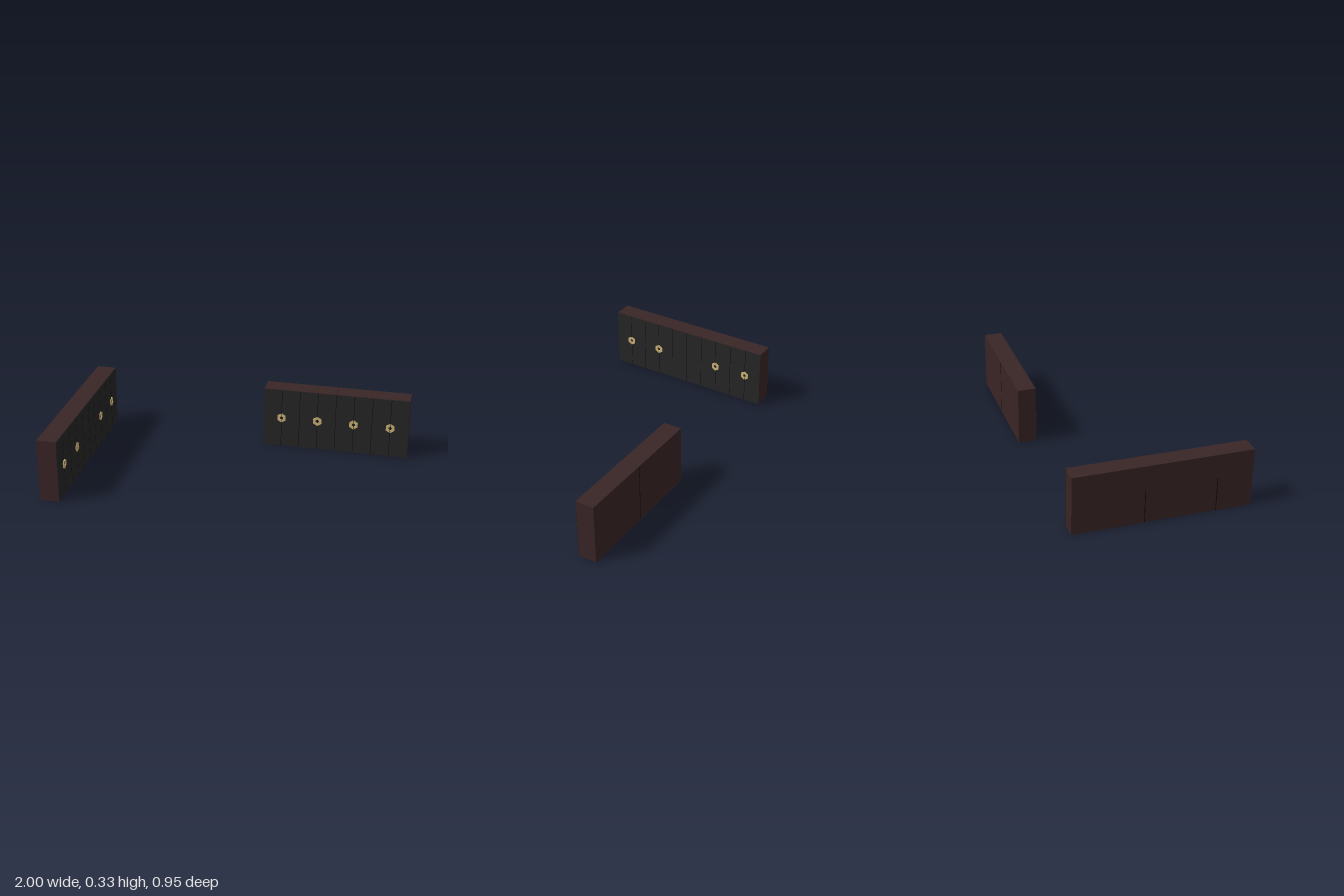
import * as THREE from 'three';

const mat = (name, color) => {
  const m = new THREE.MeshStandardMaterial({ color });
  m.name = name;
  return m;
};

const UNIT = 0.1943, HEIGHT = 0.329, DEPTH = 0.101, GAP = 0.002;

export function createModel() {
  const wood = mat('dark brown wood', 0x3a2526);
  const black = mat('charcoal door', 0x252625);
  const shadow = mat('seam black', 0x0d0c0c);
  const gold = mat('pale gold', 0xcfb478);

  const box = (parent, name, material, w, h, d, x, y, z) => {
    const m = new THREE.Mesh(new THREE.BoxGeometry(w, h, d), material);
    m.name = name;
    m.position.set(x, y, z);
    parent.add(m);
  };

  // Half of a pointed-top hexagonal plate with a round hole, split down the middle
  const R = 0.026, r = 0.009, split = 0.0012;
  const half = new THREE.Shape();
  half.moveTo(split, R);
  half.lineTo(split, r);
  half.absarc(0, 0, r, Math.PI / 2, -Math.PI / 2, true);
  half.lineTo(split, -R);
  half.lineTo(R * 0.866, -R / 2);
  half.lineTo(R * 0.866, R / 2);
  half.closePath();
  const handleGeo = new THREE.ExtrudeGeometry(half, { depth: 0.004, bevelEnabled: false, curveSegments: 8 });

  const front = DEPTH / 2, back = -DEPTH / 2;

  // Row of cabinets: bodies lists [start, count] in units, handles lists unit indices
  function cabinetRow(name, units, bodies, handles) {
    const g = new THREE.Group();
    g.name = name;
    const x0 = -units * UNIT / 2;
    for (const [start, count] of bodies) {
      box(g, 'cabinetBody', wood, count * UNIT - GAP, HEIGHT, DEPTH,
        x0 + (start + count / 2) * UNIT, HEIGHT / 2, 0);
    }
    for (let i = 0; i < units; i++) {
      const x = x0 + (i + 0.5) * UNIT;
      box(g, 'doorPanel', black, UNIT, HEIGHT - 0.004, 0.003, x, HEIGHT / 2, front + 0.0005);
      // Seam between the two doors, and between neighbouring units
      box(g, 'doorSeam', shadow, 0.0025, HEIGHT - 0.004, 0.001, x, HEIGHT / 2, front + 0.002);
      if (i > 0) {
        box(g, 'unitSeam', shadow, 0.0025, HEIGHT - 0.004, 0.001, x - UNIT / 2, HEIGHT / 2, front + 0.002);
      }
      if (!handles.includes(i)) continue;
      for (const turn of [0, Math.PI]) {
        const h = new THREE.Mesh(handleGeo, gold);
        h.name = 'doorHandle';
        h.position.set(x, 0.165, front + 0.001);
        h.rotation.z = turn;
        g.add(h);
      }
    }
    return g;
  }

  const longRow = cabinetRow('longCabinetRow', 5, [[0, 5]], [0, 1, 3, 4]);
  // Half-height seams on the long back
  for (const x of [UNIT / 2, -1.5 * UNIT]) {
    box(longRow, 'backSeam', shadow, 0.004, 0.19, 0.001, x, 0.097, back - 0.0003);
  }
  longRow.position.set(-0.712, 0, -0.031);
  longRow.rotation.y = Math.PI / 3;

  const shortRow = cabinetRow('shortCabinetRow', 4, [[0, 2], [2, 2]], [0, 1, 2, 3]);
  // Dark joint between the two halves of the short row
  box(shortRow, 'backJoint', shadow, 0.004, HEIGHT - 0.004, 0.001, 0, HEIGHT / 2, back - 0.0003);
  shortRow.position.set(0.638, 0, 0.238);
  shortRow.rotation.y = -Math.PI / 6;

  const model = new THREE.Group();
  model.name = 'cabinets';
  model.add(longRow, shortRow);
  return model;
}
